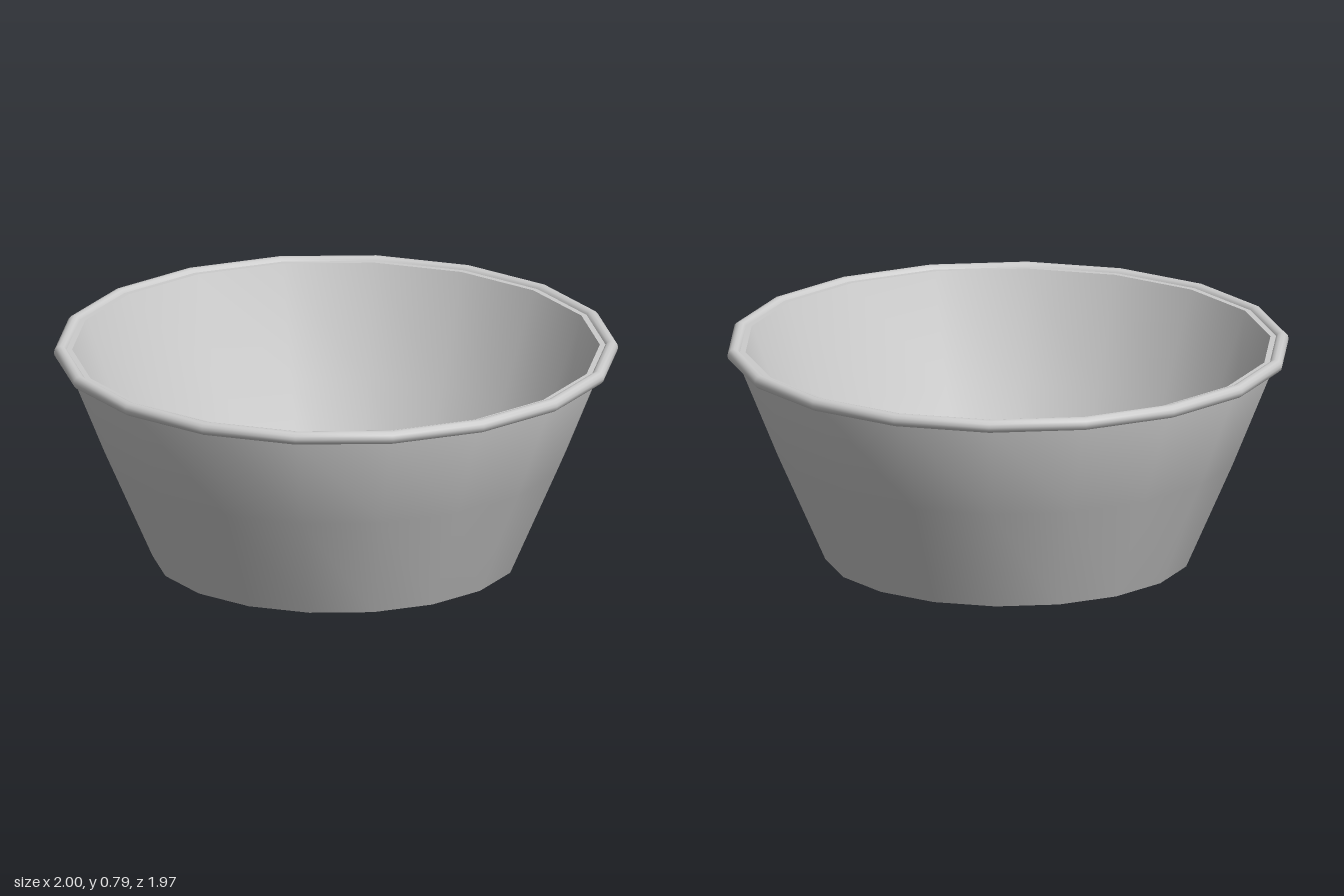
import * as THREE from 'three';
import { toCreasedNormals } from 'three/addons/utils/BufferGeometryUtils.js';

const SIDES = 18;

// Turn a profile of [radius, height] pairs, with a corner on the x axis
function turned(profile) {
  const points = profile.map(([r, y]) => new THREE.Vector2(r, y));
  return new THREE.LatheGeometry(points, SIDES, Math.PI / 2);
}

export function createModel() {
  const model = new THREE.Group();
  model.name = 'bowl';
  const material = new THREE.MeshStandardMaterial({ color: 0xcccccc });

  function add(name, geometry) {
    const mesh = new THREE.Mesh(geometry, material);
    mesh.name = name;
    model.add(mesh);
  }

  // Flared wall with a base, from the underside up the outside and down the inside
  const wall = turned([
    [0, 0], [0.65, 0], [0.82, 0.39], [0.965, 0.75], [0.965, 0.775],
    [0.935, 0.775], [0.79, 0.39], [0.62, 0.02], [0, 0.02],
  ]);
  add('bowlWall', toCreasedNormals(wall, 0.6));

  // Rolled rim around the outside of the lip
  const radius = 0.024, steps = 12;
  const rim = [];
  for (let i = 0; i <= steps; i++) {
    const a = Math.PI + (i / steps) * Math.PI * 2;
    rim.push([0.976 + radius * Math.cos(a), 0.764 + radius * Math.sin(a)]);
  }
  add('rim', turned(rim));

  return model;
}
